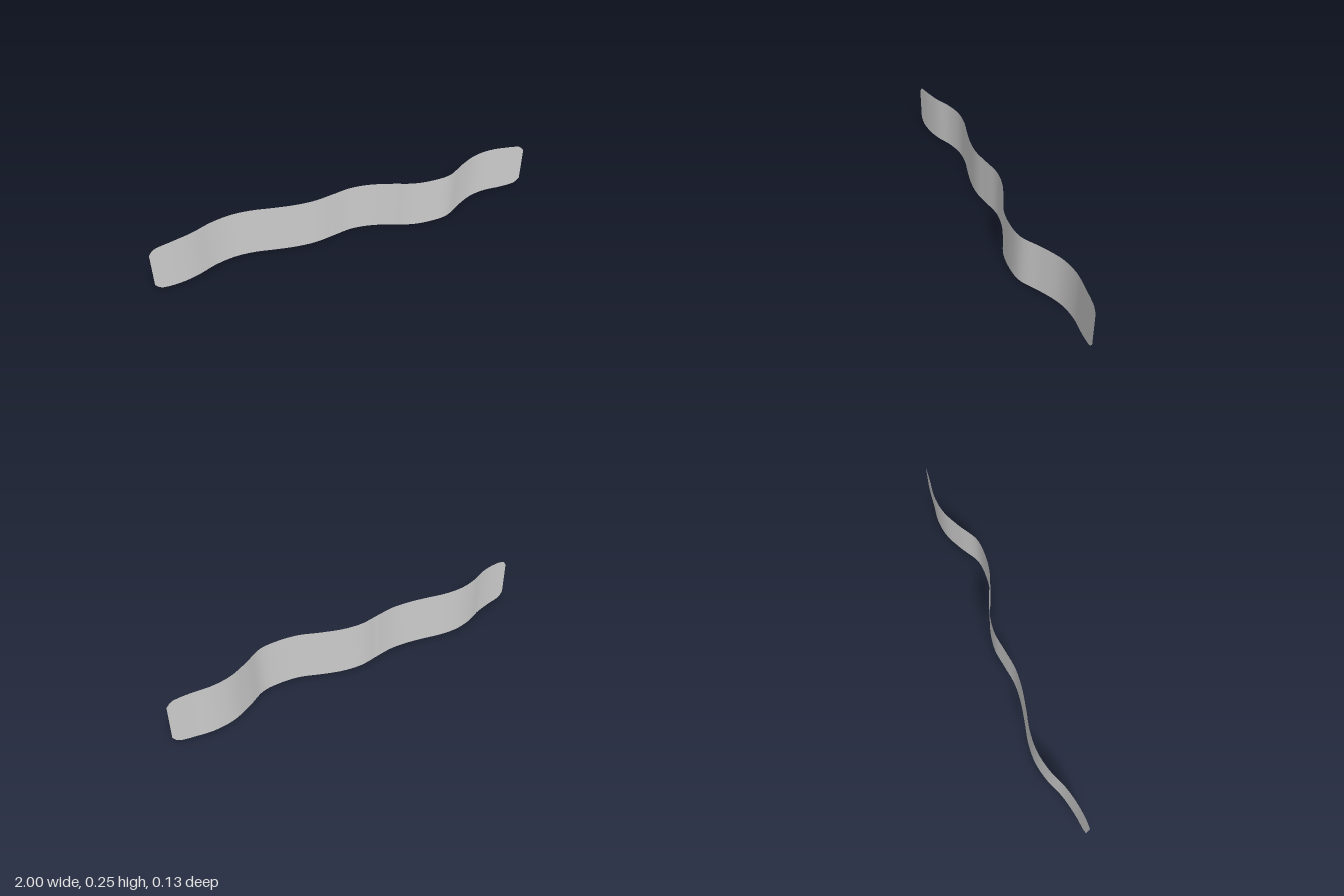
import * as THREE from 'three';

const HEIGHT = 0.253;

// Depth of the wave at even steps of 0.1 from x = -1 to x = 1
const WAVE = [
  0.03, 0.02, -0.003, -0.043, -0.063, -0.058, -0.036, -0.017, -0.011, -0.025,
  -0.039, -0.026, 0.009, 0.05, 0.064, 0.055, -0.001, -0.047, -0.062, -0.052, -0.043,
];

// Half height against distance from the middle: straight, then softly clipped corners
const OUTLINE = [[0, 0.1265], [0.86, 0.1265], [0.93, 0.122], [0.97, 0.116], [0.985, 0.106], [1, 0.087]];

function halfHeight(x) {
  const d = Math.min(Math.abs(x), 1);
  const i = Math.max(1, OUTLINE.findIndex((p) => d <= p[0]));
  const [x0, h0] = OUTLINE[i - 1];
  const [x1, h1] = OUTLINE[i];
  return h0 + ((h1 - h0) * (d - x0)) / (x1 - x0);
}

export function createModel() {
  const group = new THREE.Group();
  group.name = 'wavyStrip';

  const wave = new THREE.CatmullRomCurve3(
    WAVE.map((z, i) => new THREE.Vector3(-1 + i * 0.1, 0, z)), false, 'catmullrom', 0.5);

  // Thin upright band bent along the wave
  const geometry = new THREE.PlaneGeometry(2, 2, 120, 2);
  const position = geometry.attributes.position;
  for (let i = 0; i < position.count; i++) {
    const x = position.getX(i);
    const t = THREE.MathUtils.clamp((x + 1) / 2, 0, 1);
    position.setY(i, HEIGHT / 2 + position.getY(i) * halfHeight(x));
    position.setZ(i, wave.getPoint(t).z);
  }
  geometry.computeVertexNormals();

  const band = new THREE.Mesh(
    geometry, new THREE.MeshStandardMaterial({ color: 0xcccccc, side: THREE.DoubleSide }));
  band.name = 'band';
  group.add(band);
  return group;
}
